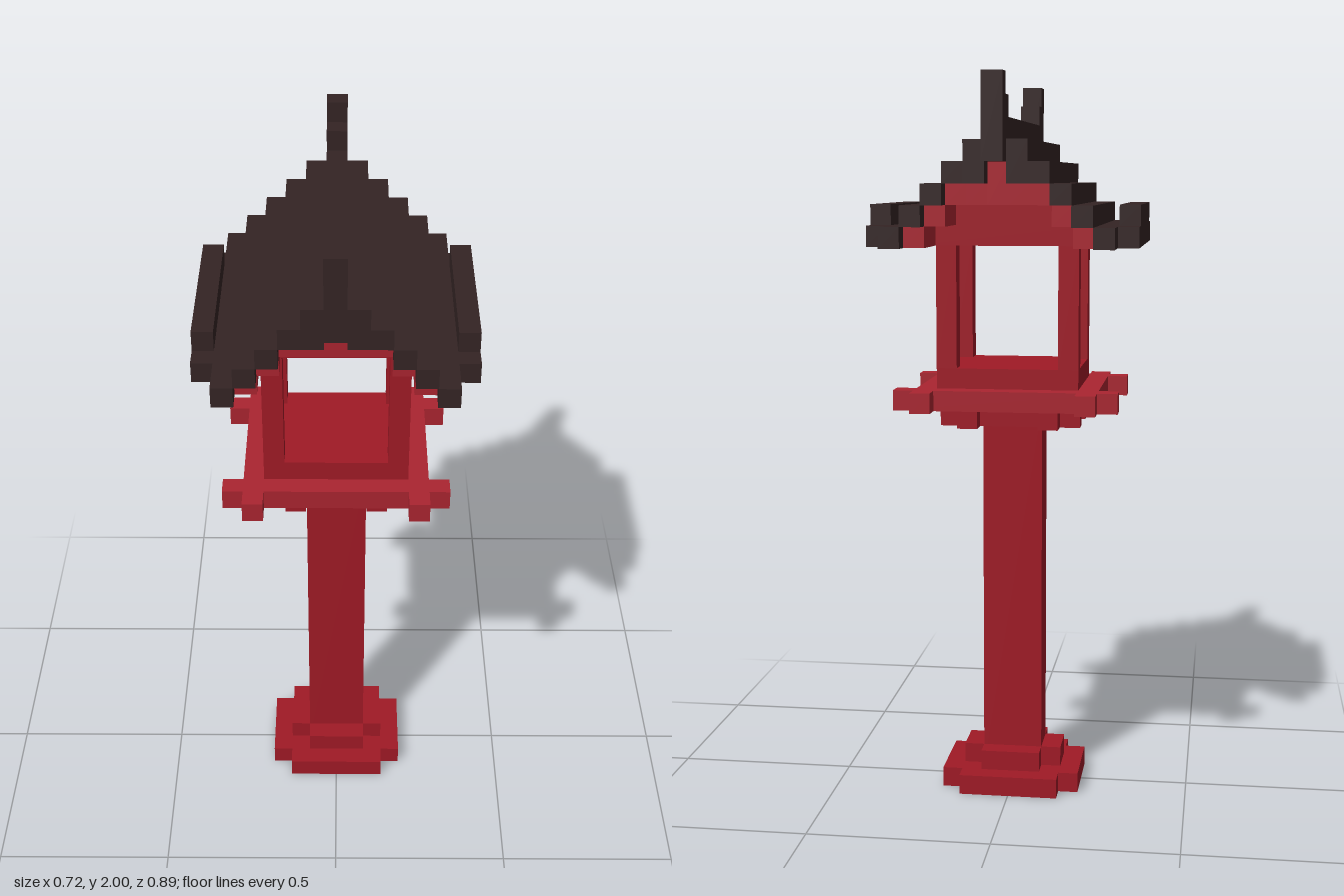
import * as THREE from 'three';

const U = 2 / 36; // one block of the grid

export function createModel() {
  const root = new THREE.Group();
  const red = new THREE.MeshStandardMaterial({ color: 0xa01a26, flatShading: true });
  const lightRed = new THREE.MeshStandardMaterial({ color: 0xaa2530, flatShading: true });
  const dark = new THREE.MeshStandardMaterial({ color: 0x342424, flatShading: true });

  // Box between two corners, in blocks
  function box(parent, name, mat, x0, x1, y0, y1, z0, z1) {
    const m = new THREE.Mesh(new THREE.BoxGeometry((x1 - x0) * U, (y1 - y0) * U, (z1 - z0) * U), mat);
    m.position.set((x0 + x1) / 2 * U, (y0 + y1) / 2 * U, (z0 + z1) / 2 * U);
    m.name = name;
    parent.add(m);
  }
  const slab = (parent, name, mat, hx, y0, y1, hz) => box(parent, name, mat, -hx, hx, y0, y1, -hz, hz);
  function group(name) {
    const g = new THREE.Group();
    g.name = name;
    root.add(g);
    return g;
  }

  // Four crossing beams laid around a core, with ends overhanging by one block
  function lattice(name, mat, hx, hz, y) {
    const g = group(name);
    for (const s of [-1, 1]) {
      const cx = s * (hx + 0.5), cz = s * (hz + 0.5);
      box(g, 'crossBeam', mat, -hx - 2, hx + 2, y, y + 1, cz - 0.5, cz + 0.5);
      box(g, 'sideBeam', mat, cx - 0.5, cx + 0.5, y, y + 1, -hz - 2, hz + 2);
    }
  }

  // Stepped foot with notched corners
  const base = group('base');
  for (const [hx, hz, y] of [[3.5, 3, 0], [2.5, 2, 1]]) {
    slab(base, 'footWide', red, hx, y, y + 1, hz - 1);
    slab(base, 'footDeep', red, hx - 1, y, y + 1, hz);
  }

  // Pillar and the platform on top of it
  slab(root, 'pillar', red, 1.5, 1, 20, 1);
  lattice('brackets', red, 1.5, 1, 19);
  lattice('platformFrame', lightRed, 3.5, 3, 20);
  slab(root, 'floor', red, 3.5, 20, 22, 3);

  // Corner posts of the lantern chamber
  const posts = group('posts');
  for (const x of [-3, 3]) for (const z of [-2.5, 2.5])
    box(posts, 'post', red, x - 0.5, x + 0.5, 22, 28, z - 0.5, z + 0.5);

  // Ceiling and stepped gable walls
  const attic = group('attic');
  for (let i = 0; i < 3; i++) slab(attic, 'gableCore', red, 4.5 - i, 28 + i, 29 + i, 3);

  const roof = group('roof');
  for (const s of [-1, 1]) {
    const col = (name, mat, x, y0, y1, hz) =>
      box(roof, name, mat, s * x - 0.5, s * x + 0.5, y0, y1, -hz, hz);
    // Stepped roof courses from the ridge outward, each lined with red below
    for (let x = 1; x <= 5; x++) {
      const top = 34 - x;
      col('roofCourse', dark, x, x === 1 ? top - 2 : top - 1, top, 7);
      if (x > 1 && x < 5) col('roofLining', lightRed, x, top - 2, top - 1, 6);
    }
    // Upturned eaves
    col('eave', dark, 6, 28, 29, 5);
    col('eaveLip', dark, 6, 29, 30, 4);
    // Inner fill of the gable between the linings
    col('gableFill', lightRed, 1, 30, 31, 6);
    // Ridge horns at both ends
    const horn = (z, y0, y1) => box(roof, 'ridgeHorn', dark, -0.5, 0.5, y0, y1, s * z - 0.5, s * z + 0.5);
    horn(6.5, 34, 35);
    horn(7.5, 32, 36);
  }
  slab(roof, 'ridge', dark, 0.5, 32, 34, 7);
  slab(roof, 'ridgeBeam', lightRed, 0.5, 30, 32, 6);
  return root;
}
